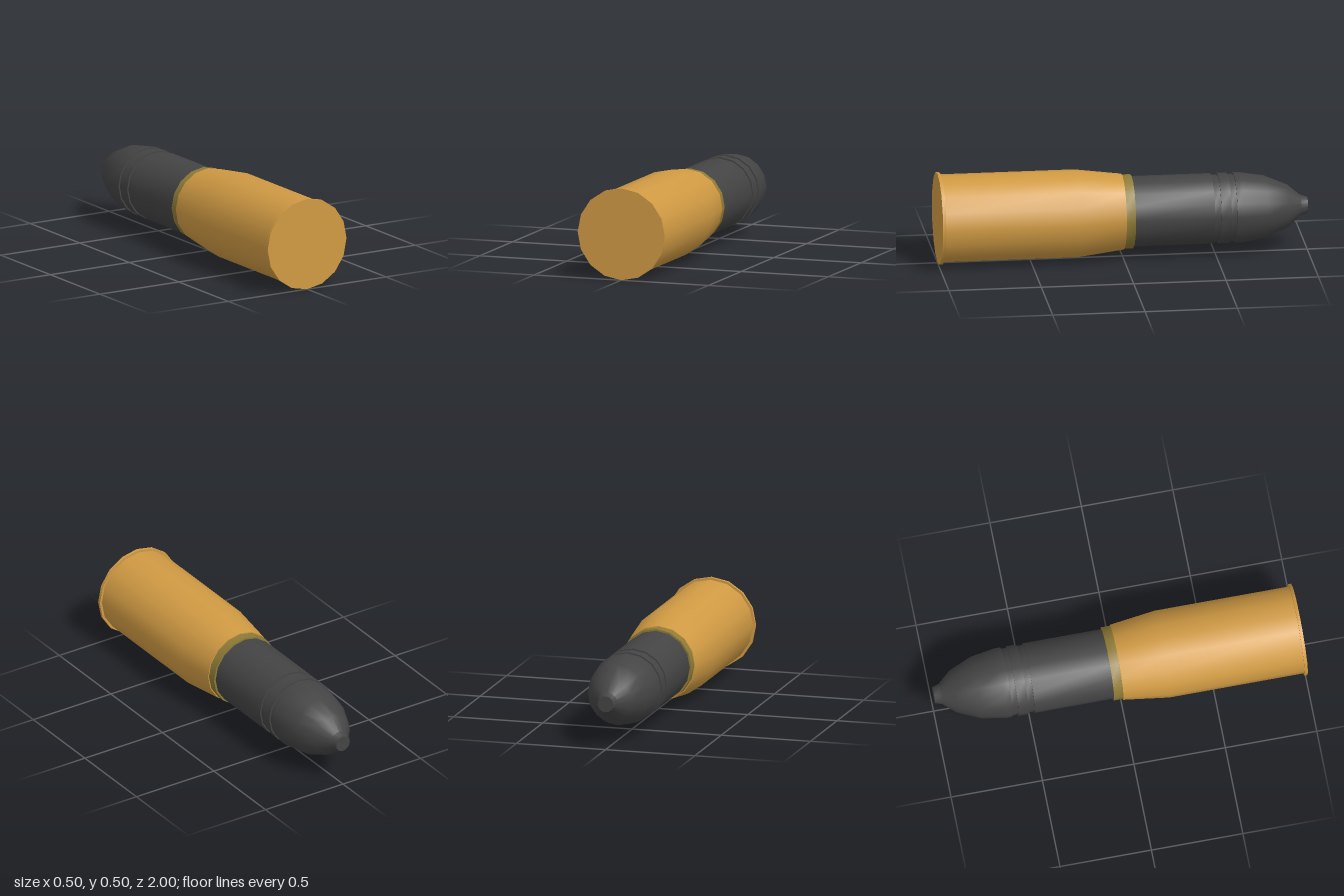
import * as THREE from 'three';
import { toCreasedNormals } from 'three/addons/utils/BufferGeometryUtils.js';

const SIDES = 16;
const AXIS_HEIGHT = 0.25;

function material(name, color) {
  const m = new THREE.MeshStandardMaterial({ color });
  m.name = name;
  return m;
}

// Turned part lying along z; profile is [radius, z] pairs from base to nose.
function turned(name, mat, profile) {
  const points = profile.map(([r, z]) => new THREE.Vector2(r, -z));
  const lathe = new THREE.LatheGeometry(points, SIDES);
  lathe.rotateX(-Math.PI / 2);
  const mesh = new THREE.Mesh(toCreasedNormals(lathe, 0.5), mat);
  mesh.name = name;
  mesh.position.y = AXIS_HEIGHT;
  return mesh;
}

export function createModel() {
  const brass = material('brass', 0xd09a43);
  const agedBrass = material('aged brass', 0x8f7b36);
  const steel = material('dark steel', 0x444444);

  const model = new THREE.Group();
  model.name = 'shell';

  // Casing with a flat base, a thin rim and a tapered shoulder
  model.add(turned('casing', brass, [
    [0, 1], [0.25, 1], [0.25, 0.983], [0.237, 0.983],
    [0.237, 0.25], [0.205, 0], [0.19, 0],
  ]));

  // Collar at the casing mouth
  model.add(turned('collar', agedBrass, [
    [0.19, 0], [0.2, 0], [0.2, -0.05], [0.185, -0.05],
  ]));

  // Projectile: body, two grooves around a band, rounded nose and flat tip
  model.add(turned('projectile', steel, [
    [0.19, 0], [0.19, -0.48],
    [0.182, -0.48], [0.182, -0.515],
    [0.19, -0.515], [0.19, -0.57],
    [0.182, -0.57], [0.182, -0.602],
    [0.19, -0.602], [0.19, -0.635], [0.168, -0.77], [0.114, -0.895],
    [0.056, -0.962], [0.044, -1], [0, -1],
  ]));

  return model;
}
